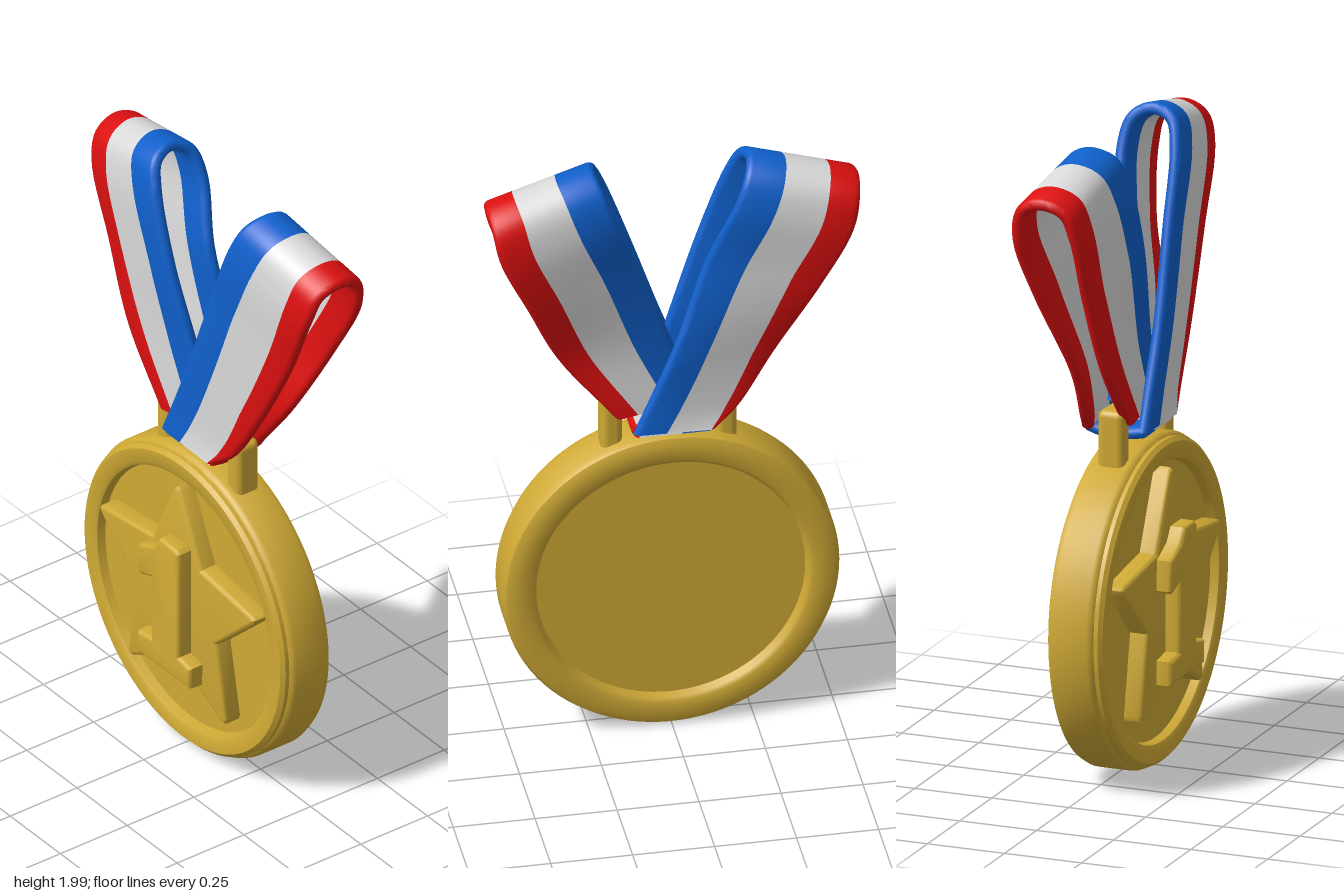
import * as THREE from 'three';
import { toCreasedNormals } from 'three/addons/utils/BufferGeometryUtils.js';
import { RoundedBoxGeometry } from 'three/addons/geometries/RoundedBoxGeometry.js';

const material = (name, color) => {
  const m = new THREE.MeshStandardMaterial({ color });
  m.name = name;
  return m;
};

const CENTER_Y = 0.515;
const HALF_THICK = 0.019;

// Outline of one stripe's cross-section: [edge 0/1, offset along width, offset along normal]
function stripeOutline(roundStart, roundEnd) {
  const points = [];
  const side = (edge, sign, round) => {
    const n = round ? 6 : 1;
    for (let k = 0; k <= n; k++) {
      const a = (k / n) * Math.PI;
      const along = round ? sign * (Math.sin(a) - 1) * HALF_THICK : 0;
      points.push([edge, along, sign * Math.cos(a) * HALF_THICK]);
    }
  };
  side(1, 1, roundEnd);
  side(0, -1, roundStart);
  return points;
}

// Sweeps three stripes between an inner and an outer edge curve.
// Station: [inner xyz, outer xyz, where white starts, where red starts]
function ribbon(name, stations, materials, steps) {
  const curve = (a, b, c) => new THREE.CatmullRomCurve3(
    stations.map((s) => new THREE.Vector3(s[a], s[b], c === null ? 0 : s[c])), false, 'centripetal');
  const inner = curve(0, 1, 2), outer = curve(3, 4, 5);
  const spans = stations.map((s) => new THREE.Vector2(s[6], s[7]));
  const group = new THREE.Group();
  group.name = name;

  const frames = [];
  for (let k = 0; k <= steps; k++) {
    const t = k / steps;
    const i = inner.getPoint(t), o = outer.getPoint(t);
    const edge = o.clone().sub(i).normalize();
    const tangent = inner.getTangent(t).add(outer.getTangent(t));
    const normal = edge.clone().cross(tangent).normalize();
    const f = t * (spans.length - 1), a = Math.min(Math.floor(f), spans.length - 2);
    const split = spans[a].clone().lerp(spans[a + 1], f - a);
    frames.push({ i, o, edge, normal, cuts: [0, split.x, split.y, 1] });
  }

  ['blueStripe', 'whiteStripe', 'redStripe'].forEach((stripe, s) => {
    const outline = stripeOutline(s === 0, s === 2);
    const n = outline.length;
    const at = (k, j) => {
      const f = frames[k], [e, along, out] = outline[j % n];
      return f.i.clone().lerp(f.o, f.cuts[s + e]).addScaledVector(f.edge, along).addScaledVector(f.normal, out);
    };
    const pos = [];
    const tri = (...v) => v.forEach((p) => pos.push(p.x, p.y, p.z));
    for (let k = 0; k < steps; k++) {
      for (let j = 0; j < n; j++) {
        const a = at(k, j), b = at(k, j + 1), c = at(k + 1, j + 1), d = at(k + 1, j);
        tri(a, b, c);
        tri(a, c, d);
      }
    }
    for (let j = 1; j < n - 1; j++) {
      tri(at(0, 0), at(0, j + 1), at(0, j));
      tri(at(steps, 0), at(steps, j), at(steps, j + 1));
    }
    const geo = new THREE.BufferGeometry();
    geo.setAttribute('position', new THREE.Float32BufferAttribute(pos, 3));
    geo.computeVertexNormals();
    const mesh = new THREE.Mesh(toCreasedNormals(geo, 0.7), materials[s]);
    mesh.name = stripe;
    group.add(mesh);
  });
  return group;
}

// Raised shape with rounded edges, from z0 to z1
function relief(name, points, z0, z1, bevel, mat) {
  const shape = new THREE.Shape(points.map(([x, y]) => new THREE.Vector2(x, y)));
  const geo = new THREE.ExtrudeGeometry(shape, {
    depth: z1 - z0 - bevel, bevelEnabled: true, bevelThickness: bevel,
    bevelSize: bevel, bevelOffset: -bevel, bevelSegments: 3,
  });
  geo.translate(0, 0, z0);
  const mesh = new THREE.Mesh(toCreasedNormals(geo, 0.6), mat);
  mesh.name = name;
  return mesh;
}

export function createModel() {
  const gold = material('gold', 0xcfa935);
  const blue = material('blue', 0x1060cc);
  const white = material('white', 0xdadada);
  const red = material('red', 0xdc1010);
  const stripes = [blue, white, red];
  const model = new THREE.Group();
  model.name = 'medal';

  // Disc with raised rims on both faces
  const profile = [
    [0, -0.045], [0.41, -0.045], [0.42, -0.066], [0.432, -0.073], [0.485, -0.073], [0.505, -0.064],
    [0.514, -0.045], [0.514, 0.062], [0.509, 0.074], [0.5, 0.08], [0.5, 0.093], [0.488, 0.105],
    [0.445, 0.105], [0.434, 0.098], [0.428, 0.072], [0, 0.072],
  ].map(([r, z]) => new THREE.Vector2(r, z));
  const discGeo = new THREE.LatheGeometry(profile, 96);
  discGeo.rotateX(Math.PI / 2);
  const disc = new THREE.Mesh(toCreasedNormals(discGeo, 0.7), gold);
  disc.name = 'disc';
  disc.position.y = CENTER_Y;
  model.add(disc);

  // Five-pointed star with blunted tips
  const star = [];
  for (let k = 0; k < 5; k++) {
    const a = Math.PI / 2 + (k * Math.PI * 2) / 5;
    const polar = (r, t) => [r * Math.cos(t), 0.535 + r * Math.sin(t)];
    star.push(polar(0.395, a - 0.035), polar(0.405, a), polar(0.395, a + 0.035), polar(0.205, a + Math.PI / 5));
  }
  model.add(relief('star', star, 0.06, 0.13, 0.014, gold));

  // Raised first-place numeral
  model.add(relief('numeral', [
    [-0.13, 0.295], [0.13, 0.295], [0.135, 0.37], [0.075, 0.38], [0.075, 0.75], [0.06, 0.762], [-0.02, 0.762],
    [-0.05, 0.72], [-0.125, 0.685], [-0.13, 0.59], [-0.115, 0.58], [-0.06, 0.6], [-0.06, 0.38], [-0.13, 0.37],
  ], 0.12, 0.18, 0.014, gold));

  // Hanger: two posts and a crossbar
  const hanger = new THREE.Group();
  hanger.name = 'hanger';
  const bar = (name, w, h, x, y) => {
    const mesh = new THREE.Mesh(new RoundedBoxGeometry(w, h, 0.085, 4, 0.022), gold);
    mesh.name = name;
    mesh.position.set(x, y, 0.01);
    hanger.add(mesh);
  };
  for (const side of [-1, 1]) bar('post', 0.064, 0.22, side * 0.175, 1.05);
  bar('crossbar', 0.41, 0.055, 0, 1.13);
  model.add(hanger);

  // Ribbon loops: one leg of each crosses over the middle, the other tucks beneath
  const crown = [
    [0.10, 1.66, 0.068, 0.45, 1.57, 0.033, 0.3, 0.76],
    [0.18, 1.88, 0.058, 0.54, 1.79, 0.028, 0.33, 0.74],
    [0.215, 1.96, 0.03, 0.56, 1.87, 0, 0.34, 0.73],
    [0.23, 1.982, -0.035, 0.568, 1.895, -0.07, 0.34, 0.73],
    [0.215, 1.95, -0.095, 0.56, 1.865, -0.135, 0.34, 0.73],
    [0.18, 1.86, -0.115, 0.54, 1.77, -0.155, 0.33, 0.73],
    [0.10, 1.66, -0.08, 0.45, 1.57, -0.125, 0.33, 0.73],
  ];
  const over = (z) => [
    [-0.125, 1.075, z, 0.125, 1.07, z, 0.4, 0.94],
    [-0.07, 1.2, z, 0.2, 1.13, z * 0.75, 0.36, 0.84],
    [0, 1.37, z, 0.31, 1.3, z * 0.6, 0.33, 0.78],
  ];
  const under = (z) => [
    [-0.07, 1.15, z * 0.8, 0.17, 1.11, z * 1.1, 0.33, 0.73],
    [0, 1.37, z, 0.34, 1.33, z, 0.33, 0.73],
  ];
  const mirrorX = (s) => [-s[0], s[1], s[2], -s[3], s[4], s[5], s[6], s[7]];
  const leftLoop = [...over(0.078), ...crown, ...under(-0.05).reverse()];
  const rightLoop = [...under(0.045), ...crown, ...over(-0.1).reverse()].map(mirrorX);
  model.add(ribbon('leftRibbonLoop', leftLoop, stripes, 72));
  model.add(ribbon('rightRibbonLoop', rightLoop, stripes, 72));

  // Fold of ribbon passing under the crossbar
  const fold = [[1.075, 0.078], [1.068, 0.04], [1.066, -0.01], [1.068, -0.06], [1.08, -0.1]]
    .map(([y, z]) => [-0.125, y, z, 0.125, y, z, 0.4, 0.94]);
  model.add(ribbon('ribbonFold', fold, stripes, 16));

  return model;
}
